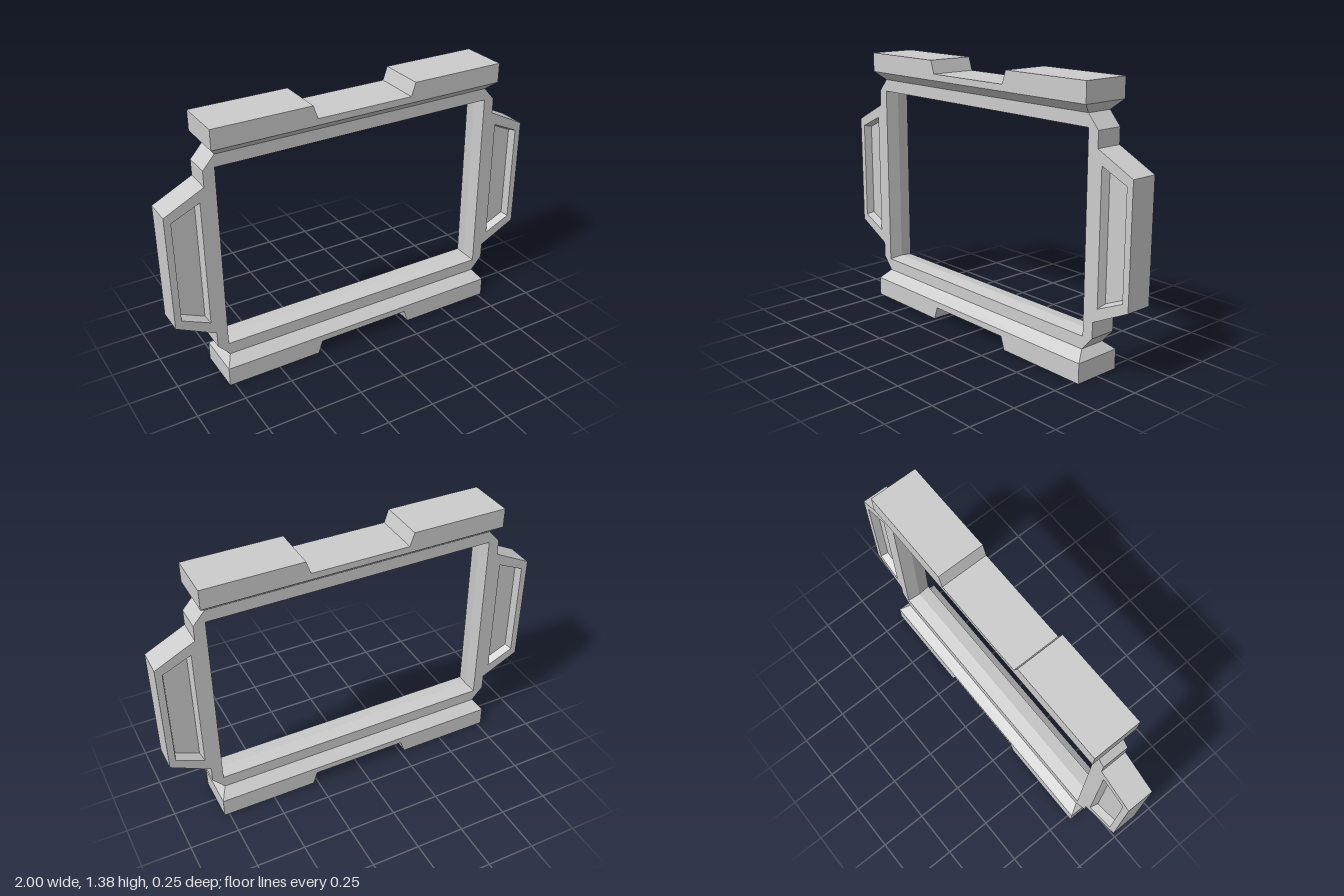
import * as THREE from 'three';

const H = 1.376;   // overall height
const T = 0.07;    // half thickness of the frame
const RAIL = 0.125; // half thickness of the rails

const material = new THREE.MeshStandardMaterial({ color: 0xcccccc, flatShading: true });

function addMesh(parent, name, geometry) {
  const mesh = new THREE.Mesh(geometry, material);
  mesh.name = name;
  parent.add(mesh);
  return mesh;
}

const toVectors = (points) => points.map(([x, y]) => new THREE.Vector2(x, y));

// Plate of the given half thickness, centred on z = 0
function plate(outline, holes, half) {
  const shape = new THREE.Shape(toVectors(outline));
  for (const hole of holes) shape.holes.push(new THREE.Path(toVectors(hole)));
  return new THREE.ExtrudeGeometry(shape, { depth: half * 2, bevelEnabled: false }).translate(0, 0, -half);
}

// Walls between successive rings of 3D points; optionally fills the last ring
function loft(rings, fillEnd = false) {
  const pos = [];
  for (let r = 0; r + 1 < rings.length; r++) {
    const n = rings[r].length;
    for (let i = 0; i < n; i++) {
      const j = (i + 1) % n;
      const [a, b, c, d] = [rings[r][i], rings[r][j], rings[r + 1][j], rings[r + 1][i]];
      pos.push(...a, ...b, ...d, ...b, ...c, ...d);
    }
  }
  if (fillEnd) {
    const e = rings[rings.length - 1];
    for (let i = 1; i + 1 < e.length; i++) pos.push(...e[0], ...e[i], ...e[i + 1]);
  }
  const geometry = new THREE.BufferGeometry();
  geometry.setAttribute('position', new THREE.Float32BufferAttribute(pos, 3));
  geometry.computeVertexNormals();
  return geometry;
}

const atZ = (points, z) => points.map(([x, y]) => [x, y, z]);
const mirrorX = (points) => points.map(([x, y]) => [-x, y]).reverse();

// Window rectangle, counter-clockwise
const windowRing = (inset) => {
  const x = 0.743 - inset, y0 = 0.208 + inset, y1 = H - y0;
  return [[-x, y0], [x, y0], [x, y1], [-x, y1]];
};

// Slanted recess in the left wing, counter-clockwise
const recessRim = [[0.825, 0.363], [0.967, 0.427], [0.967, H - 0.427], [0.825, H - 0.363]];
const recessFloor = [[0.837, 0.382], [0.956, 0.436], [0.956, H - 0.436], [0.837, H - 0.382]];

// Rail with a notch on its outer face and a taper down to the frame
function makeRail(name) {
  const rail = new THREE.Group();
  rail.name = name;
  const body = [
    [-0.775, 0], [-0.275, 0], [-0.252, 0.067], [0.252, 0.067],
    [0.275, 0], [0.775, 0], [0.775, 0.1], [-0.775, 0.1],
  ];
  addMesh(rail, 'railBody', plate(body, [], RAIL));
  const rect = (w, d, y) => [[w, y, d], [w, y, -d], [-w, y, -d], [-w, y, d]];
  addMesh(rail, 'railTaper', loft([rect(0.775, RAIL, 0.1), rect(0.74, T, 0.145)]));
  return rail;
}

export function createModel() {
  const model = new THREE.Group();
  model.name = 'frameWithRails';

  // Frame with chamfered corners and side wings, in one plate
  const quarter = [[0.74, 0.145], [0.8, 0.213], [0.8, 0.292], [1, 0.392]];
  const side = [...quarter, ...quarter.map(([x, y]) => [x, H - y]).reverse()];
  addMesh(model, 'frame', plate(
    [...side, ...mirrorX(side)],
    [windowRing(0), recessRim, mirrorX(recessRim)], T));

  // Window lining with a shallow ridge at mid depth
  addMesh(model, 'windowLining', loft([
    atZ(windowRing(0), T), atZ(windowRing(0.01), 0), atZ(windowRing(0), -T)]));

  // Wing recesses on both faces
  for (const face of ['front', 'back']) {
    const recesses = new THREE.Group();
    recesses.name = face + 'Recesses';
    if (face === 'back') recesses.rotation.y = Math.PI;
    for (const flip of [(p) => p, mirrorX]) {
      addMesh(recesses, 'wingRecess',
        loft([atZ(flip(recessRim), T), atZ(flip(recessFloor), 0.03)], true));
    }
    model.add(recesses);
  }

  // Bottom rail and its upturned twin
  model.add(makeRail('bottomRail'));
  const top = makeRail('topRail');
  top.rotation.z = Math.PI;
  top.position.y = H;
  model.add(top);

  return model;
}
